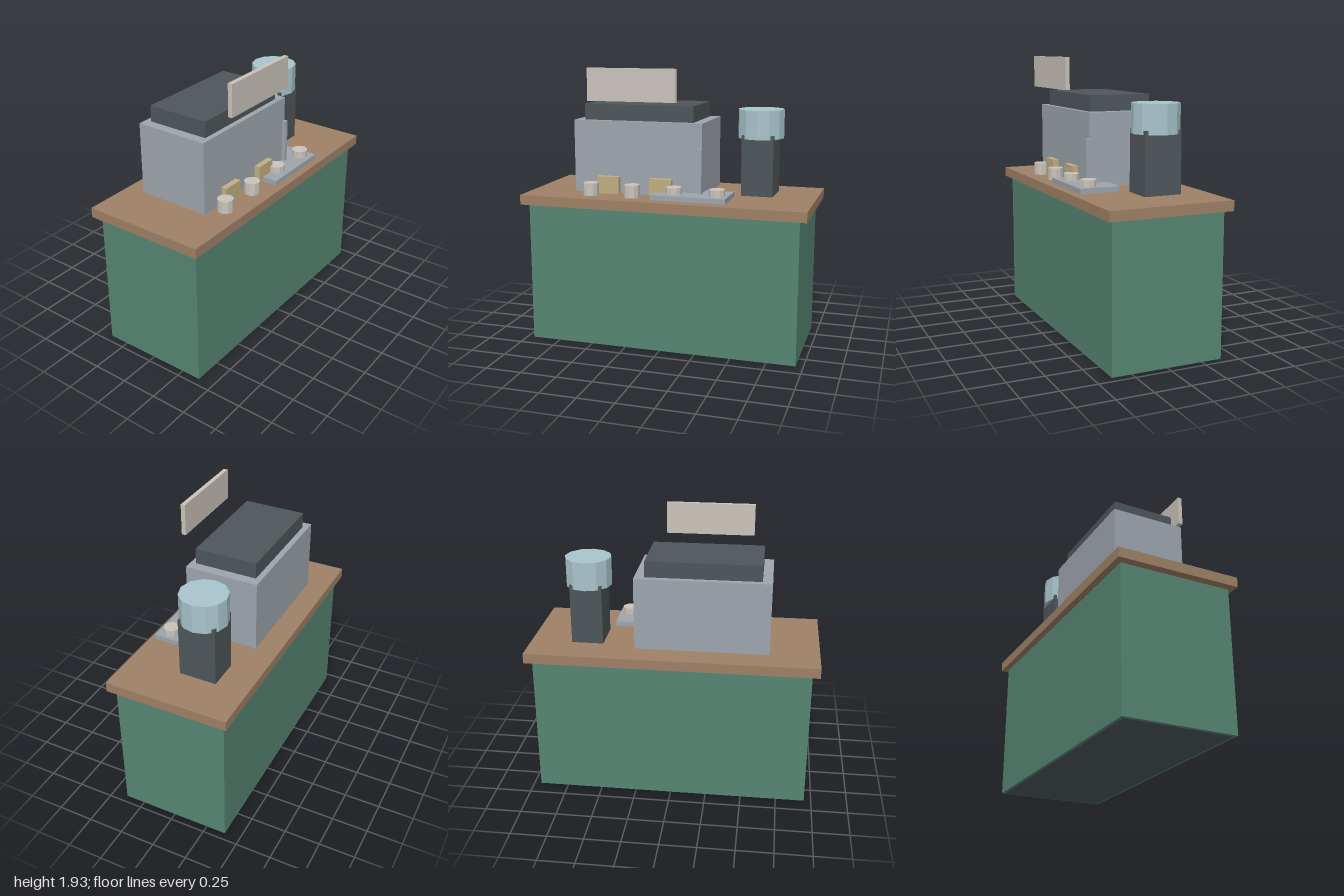
import * as THREE from 'three';

const paint = (name, color) => {
  const m = new THREE.MeshStandardMaterial({ color });
  m.name = name;
  return m;
};

export function createModel() {
  const green = paint('cabinetGreen', 0x568572);
  const wood = paint('wood', 0x9f8066);
  const steel = paint('steel', 0x9ea5ad);
  const dark = paint('charcoal', 0x4e565a);
  const glass = paint('hopperBlue', 0xa8c5cc);
  const cream = paint('cream', 0xc9c3ba);
  const brass = paint('brass', 0xc2ae82);

  const root = new THREE.Group();
  root.name = 'coffeeCart';

  const add = (name, geometry, material, x, y, z) => {
    const mesh = new THREE.Mesh(geometry, material);
    mesh.name = name;
    mesh.position.set(x, y, z);
    root.add(mesh);
  };
  // Box given by its lower and upper limits on each axis
  const box = (name, material, [x0, x1], [y0, y1], [z0, z1]) =>
    add(name, new THREE.BoxGeometry(x1 - x0, y1 - y0, z1 - z0), material,
      (x0 + x1) / 2, (y0 + y1) / 2, (z0 + z1) / 2);
  // Faceted upright drum with sharp edges
  const drum = (name, material, r, sides, x, [y0, y1], z) => {
    const g = new THREE.CylinderGeometry(r, r, y1 - y0, sides).toNonIndexed();
    g.computeVertexNormals();
    add(name, g, material, x, (y0 + y1) / 2, z);
  };

  // Counter
  box('cabinet', green, [-0.95, 0.95], [0.002, 0.982], [-0.39, 0.39]);
  box('basePlate', dark, [-0.93, 0.93], [0, 0.008], [-0.37, 0.37]);
  box('countertop', wood, [-1, 1], [0.987, 1.056], [-0.43, 0.43]);

  // Espresso machine
  box('machineBody', steel, [-0.66, 0.258], [1.07, 1.572], [-0.28, 0.237]);
  box('machineTop', dark, [-0.593, 0.188], [1.572, 1.682], [-0.24, 0.2]);
  for (const x of [-0.402, -0.024])
    box('brewHead', brass, [x - 0.078, x + 0.078], [1.07, 1.19], [0.2, 0.278]);
  box('steamWand', steel, [0.236, 0.262], [1.07, 1.402], [0.23, 0.263]);

  // Grinder
  box('grinderBody', dark, [0.488, 0.708], [1.063, 1.482], [-0.21, 0.05]);
  drum('grinderHopper', glass, 0.16, 12, 0.597, [1.455, 1.652], -0.08);

  // Serving tray and cups
  box('tray', steel, [-0.06, 0.455], [1.065, 1.1], [0.107, 0.386]);
  for (const x of [-0.52, -0.22, 0.08, 0.38])
    drum('cup', cream, 0.055, 10, x, [1.06, 1.147], 0.298);

  // Blank sign panel floating above
  box('signPanel', cream, [-0.514, 0.108], [1.715, 1.935], [0.316, 0.347]);

  return root;
}
